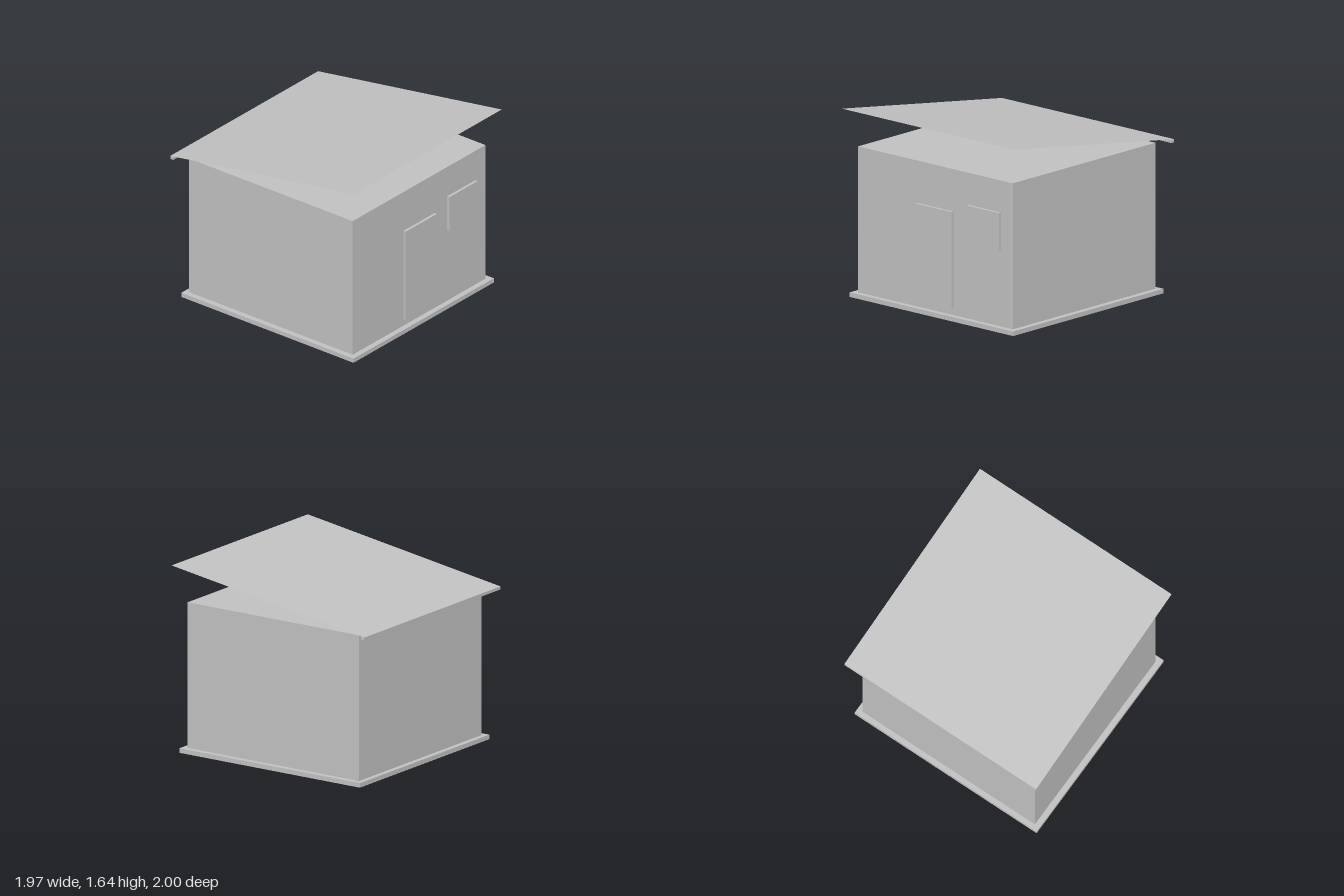
import * as THREE from 'three';

const grey = new THREE.MeshStandardMaterial({ color: 0xc0c0c0, side: THREE.DoubleSide });
grey.name = 'plain grey';

// Box given by its limits on each axis
function block(name, x0, x1, y0, y1, z0, z1) {
  const geo = new THREE.BoxGeometry(x1 - x0, y1 - y0, z1 - z0);
  geo.translate((x0 + x1) / 2, (y0 + y1) / 2, (z0 + z1) / 2);
  const mesh = new THREE.Mesh(geo, grey);
  mesh.name = name;
  return mesh;
}

// Four upright sheets around a rectangle, open above and below
function skirt(name, x, y0, y1, z0, z1) {
  const group = new THREE.Group();
  group.name = name;
  const h = y1 - y0, y = (y0 + y1) / 2, zc = (z0 + z1) / 2;
  for (const s of [-1, 1]) {
    const side = new THREE.Mesh(new THREE.PlaneGeometry(z1 - z0, h), grey);
    side.position.set(s * x, y, zc);
    side.rotation.y = s * Math.PI / 2;
    const end = new THREE.Mesh(new THREE.PlaneGeometry(2 * x, h), grey);
    end.position.set(0, y, zc + s * (z1 - z0) / 2);
    end.rotation.y = s > 0 ? 0 : Math.PI;
    group.add(side, end);
  }
  return group;
}

export function createModel() {
  const model = new THREE.Group();
  model.name = 'cabin';

  // Base tray, hollow underneath
  model.add(skirt('baseRim', 0.935, 0, 0.04, -0.92, 0.955));
  const baseTop = new THREE.Mesh(new THREE.PlaneGeometry(1.87, 1.875), grey);
  baseTop.name = 'baseTop';
  baseTop.rotation.x = -Math.PI / 2;
  baseTop.position.set(0, 0.04, 0.0175);
  model.add(baseTop);
  model.add(skirt('innerRim', 0.9, 0.005, 0.04, -0.885, 0.92));

  // Short hexagonal sleeves under the corners
  for (const x of [-0.8, 0.8]) for (const z of [-0.785, 0.82]) {
    const foot = new THREE.Mesh(new THREE.CylinderGeometry(0.04, 0.04, 0.035, 6, 1, true).toNonIndexed(), grey);
    foot.geometry.computeVertexNormals();
    foot.name = 'footSleeve';
    foot.position.set(x, 0.0205, z);
    model.add(foot);
  }

  // Body, door and window
  model.add(block('walls', -0.885, 0.885, 0.04, 1.315, -0.875, 0.905));
  model.add(block('door', -0.21, 0.205, 0.1, 0.945, 0.905, 0.93));
  model.add(block('window', 0.375, 0.75, 0.71, 1.035, 0.905, 0.93));

  // Thin roof sheet rising towards the front
  const rise = 0.305;
  const roof = new THREE.Mesh(new THREE.PlaneGeometry(1.97, Math.hypot(2, rise)), grey);
  roof.name = 'roofSheet';
  roof.rotation.x = -Math.PI / 2 + Math.atan2(rise, 2) * -1;
  roof.position.set(0, 1.34 + rise / 2, 0);
  // Turn the sheet so that its front edge is the high one
  roof.rotation.x = -Math.PI / 2 - Math.atan2(rise, 2);
  model.add(roof);

  // Gutter strip below the back edge
  model.add(block('gutter', -0.985, 0.985, 1.313, 1.339, -1, -0.965));
  return model;
}
